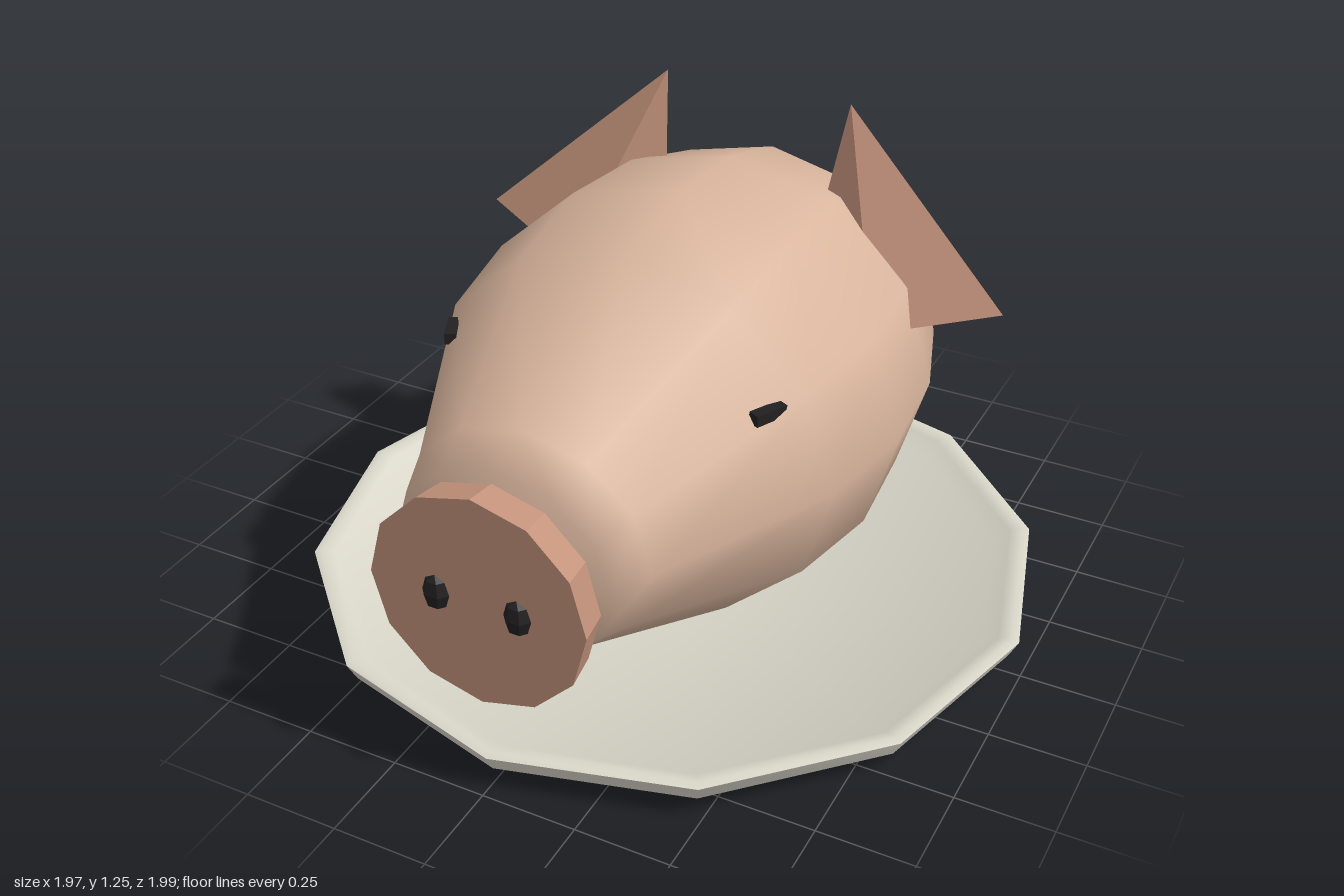
import * as THREE from 'three';
import { toCreasedNormals } from 'three/addons/utils/BufferGeometryUtils.js';

const mat = (color, flatShading = false) => new THREE.MeshStandardMaterial({ color, flatShading });

function part(parent, name, geometry, material) {
  const mesh = new THREE.Mesh(geometry, material);
  mesh.name = name;
  parent.add(mesh);
  return mesh;
}

const lathe = (profile, sides) =>
  new THREE.LatheGeometry(profile.map(([r, y]) => new THREE.Vector2(r, y)), sides);

// Four-sided pyramid: tip plus base corners, counter-clockwise seen from the tip
function pyramid(tip, base) {
  const corners = [];
  base.forEach((p, i) => corners.push(...tip, ...p, ...base[(i + 1) % 4]));
  corners.push(...base[0], ...base[3], ...base[2], ...base[0], ...base[2], ...base[1]);
  const g = new THREE.BufferGeometry();
  g.setAttribute('position', new THREE.Float32BufferAttribute(corners, 3));
  g.computeVertexNormals();
  return g;
}

export function createModel() {
  const model = new THREE.Group();
  model.name = 'pigHeadOnPlate';
  const skin = mat(0xd9b59d);
  const pink = mat(0xc4937c, true);
  const dark = mat(0x222020, true);
  const china = mat(0xd9d6c9);

  // Plate with raised rim and shallow foot
  const plate = part(model, 'plate', toCreasedNormals(lathe([
    [0, 0], [0.58, 0], [0.63, 0.03], [0.96, 0.045], [0.985, 0.095],
    [0.965, 0.1], [0.93, 0.092], [0.89, 0.06], [0, 0.055],
  ], 12), 0.9), china);
  plate.position.z = -0.01;

  // Head: twelve-sided lathe lying along z, slightly wider than tall
  const headGeo = lathe([
    [0, -0.8], [0.29, -0.76], [0.45, -0.6], [0.53, -0.33], [0.555, -0.04],
    [0.51, 0.26], [0.295, 0.75], [0.255, 0.865], [0, 0.9],
  ], 12);
  headGeo.rotateX(Math.PI / 2).scale(1.11, 1, 1);
  part(model, 'head', headGeo, skin).position.y = 0.59;

  // Snout disc
  const snoutGeo = new THREE.CylinderGeometry(0.283, 0.27, 0.09, 12).rotateX(Math.PI / 2);
  part(model, 'snout', snoutGeo, pink).position.set(0, 0.553, 0.93);

  // Slit eye outline, from its rear end to its front end
  const eyeShape = new THREE.Shape([
    [-0.045, 0.013], [-0.042, 0.002], [-0.005, -0.015], [0.045, -0.015], [0.045, 0.015],
  ].map(([x, y]) => new THREE.Vector2(x, y)));
  const eyeGeo = new THREE.ExtrudeGeometry(eyeShape, { depth: 0.03, bevelEnabled: false });
  eyeGeo.translate(0, 0, -0.015);
  const nostrilGeo = new THREE.SphereGeometry(1, 6, 4).scale(0.036, 0.048, 0.025);
  const earGeo = pyramid([0.265, 1.255, -0.49], [
    [0.755, 0.815, -0.37], [0.46, 0.69, -0.44], [0.19, 0.66, -0.32], [0.45, 0.745, -0.245],
  ].reverse());

  // Paired features, mirrored across the middle
  for (const [side, s] of [['left', 1], ['right', -1]]) {
    const half = new THREE.Group();
    half.name = side + 'Features';
    half.scale.x = s;
    model.add(half);
    part(half, side + 'Ear', earGeo, pink);
    part(half, side + 'Nostril', nostrilGeo, dark).position.set(0.107, 0.55, 0.975);
    const eye = part(half, side + 'Eye', eyeGeo, dark);
    eye.position.set(0.432, 0.838, 0.365);
    eye.rotation.y = -2.02;
  }
  // Ears are thin and seen from both sides
  pink.side = THREE.DoubleSide;
  return model;
}
